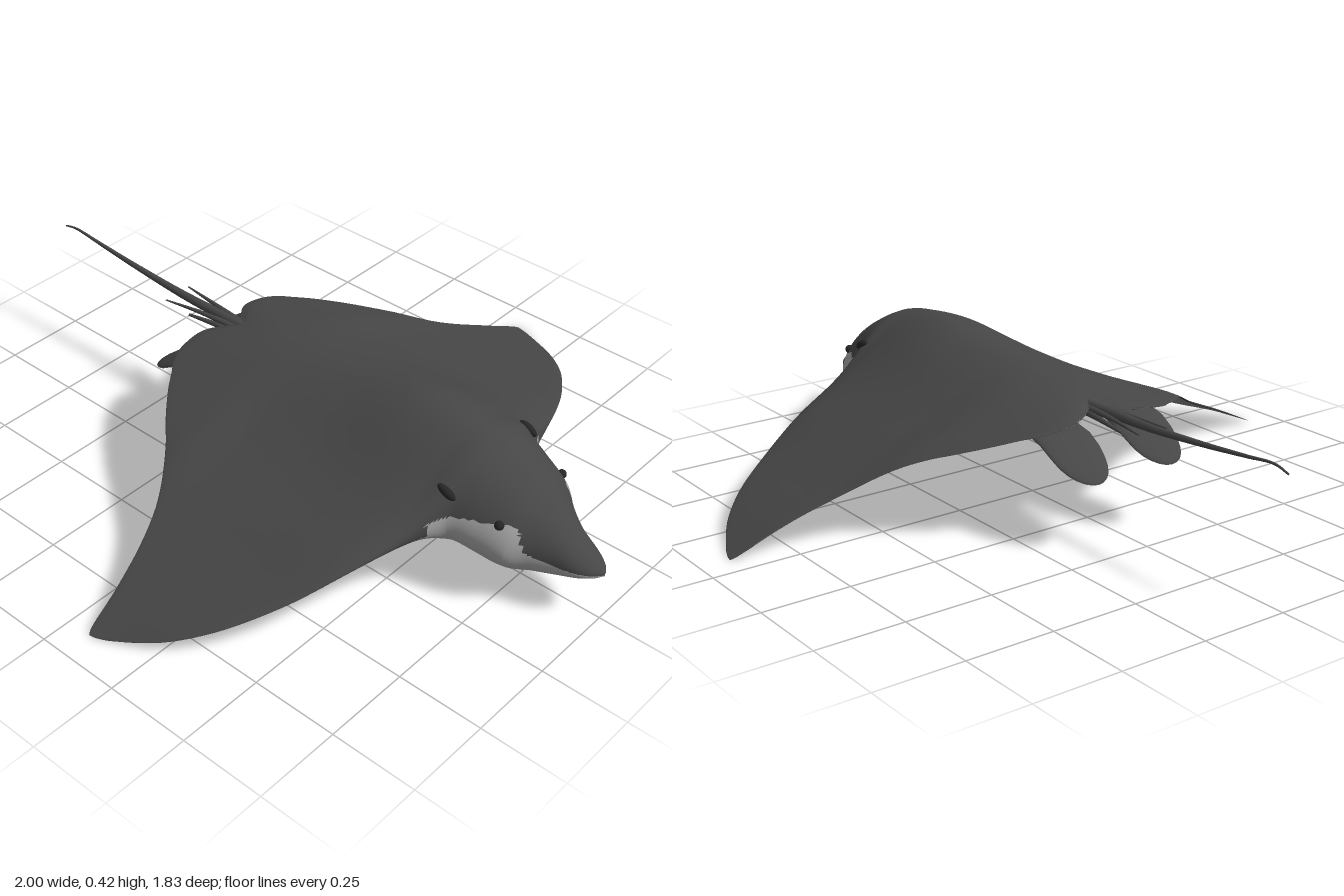
import * as THREE from 'three';

const mat = (name, color, side = THREE.FrontSide) => {
  const m = new THREE.MeshStandardMaterial({ color, side });
  m.name = name;
  return m;
};

// Smooth curve through [x, y] points that never overshoots
function curve(p) {
  const d = p.slice(1).map((q, i) => (q[1] - p[i][1]) / (q[0] - p[i][0]));
  const m = p.map((_, i) => {
    if (i === 0) return d[0];
    if (i === d.length) return d[i - 1];
    return d[i - 1] * d[i] <= 0 ? 0 : 2 * d[i - 1] * d[i] / (d[i - 1] + d[i]);
  });
  return x => {
    x = Math.min(Math.max(x, p[0][0]), p[p.length - 1][0]);
    let i = 0;
    while (i < p.length - 2 && x > p[i + 1][0]) i++;
    const h = p[i + 1][0] - p[i][0], t = (x - p[i][0]) / h, s = 1 - t;
    return p[i][1] * (1 + 2 * t) * s * s + m[i] * h * t * s * s
      + p[i + 1][1] * t * t * (3 - 2 * t) - m[i + 1] * h * t * t * s;
  };
}

// Half width of the disc and head along the body
const outline = [[-0.335, 0.1], [-0.33, 0.17], [-0.31, 0.22], [-0.29, 0.245], [-0.25, 0.3],
  [-0.18, 0.38], [-0.12, 0.44], [-0.03, 0.56], [0.02, 0.68], [0.05, 0.8], [0.066, 0.9],
  [0.075, 0.914], [0.11, 0.905], [0.15, 0.887], [0.25, 0.83], [0.35, 0.74], [0.45, 0.6],
  [0.53, 0.45], [0.58, 0.33], [0.615, 0.24], [0.645, 0.195], [0.7, 0.175], [0.78, 0.15],
  [0.83, 0.105], [0.88, 0.075], [0.94, 0.055], [0.98, 0.03], [1, 0.003]];
const halfWidth = curve(outline);
const backY = curve([[-0.335, 0.336], [-0.3, 0.348], [-0.1, 0.373], [0.2, 0.402], [0.42, 0.428],
  [0.6, 0.41], [0.75, 0.35], [0.83, 0.285], [0.9, 0.225], [1, 0.162]]);
const bellyY = curve([[-0.335, 0.326], [-0.2, 0.28], [0, 0.235], [0.2, 0.2], [0.43, 0.158],
  [0.58, 0.138], [0.65, 0.115], [0.75, 0.09], [0.85, 0.1], [0.93, 0.127], [1, 0.152]]);
const edgeY = curve([[-0.335, 0.33], [-0.1, 0.33], [0.07, 0.305], [0.3, 0.292], [0.5, 0.284],
  [0.63, 0.26], [0.8, 0.2], [0.9, 0.165], [1, 0.156]]);
const droop = curve([[0, 0], [0.1, -0.008], [0.2, -0.025], [0.4, -0.085], [0.6, -0.168],
  [0.75, -0.225], [0.914, -0.298]]);
const toneY = curve([[0.58, 0.24], [0.66, 0.265], [0.79, 0.268], [0.83, 0.19], [0.9, 0.165], [1, 0.156]]);
const { smoothstep, lerp } = THREE.MathUtils;

// Point of the body surface at length x and angle a around the section
function skin(x, a) {
  const u = Math.cos(a), z = halfWidth(x) * u, head = smoothstep(x, 0.56, 0.72);
  const e = edgeY(x), up = Math.sin(a) >= 0;
  const thick = 0.03 * (1 - Math.abs(z)) * smoothstep(x, -0.36, 0.2) * (1 - head);
  const centre = Math.abs((up ? backY(x) : bellyY(x)) - e);
  const bump = Math.exp(-((z / lerp(0.2, 0.4, head)) ** 2));
  const close = Math.sqrt(Math.max(0, 1 - Math.abs(u) ** lerp(4, 2.4, head)));
  const h = (thick + bump * (centre - thick)) * close;
  // Notch between the two rear lobes
  const notch = 0.06 * Math.exp(-((z / 0.06) ** 2)) * (1 - smoothstep(x, -0.335, -0.1));
  return new THREE.Vector3(x + notch, e + droop(Math.abs(z)) + (up ? h : -h), z);
}

// Sort faces into one group per material by a rule on centre and normal
function paint(geo, rule, count) {
  const pos = geo.attributes.position, idx = geo.index.array;
  const bins = Array.from({ length: count }, () => []);
  const t = new THREE.Triangle(), c = new THREE.Vector3(), n = new THREE.Vector3();
  for (let i = 0; i < idx.length; i += 3) {
    t.setFromAttributeAndIndices(pos, idx[i], idx[i + 1], idx[i + 2]);
    t.getMidpoint(c);
    t.getNormal(n);
    bins[rule(c, n)].push(idx[i], idx[i + 1], idx[i + 2]);
  }
  geo.setIndex(bins.flat());
  geo.clearGroups();
  let start = 0;
  bins.forEach((b, i) => { geo.addGroup(start, b.length, i); start += b.length; });
  return geo;
}

function bodyGeometry() {
  const xs = [], sub = 5, N = 96, pts = [], idx = [];
  for (let i = 0; i < outline.length - 1; i++)
    for (let k = 0; k < sub; k++) xs.push(lerp(outline[i][0], outline[i + 1][0], k / sub));
  xs.push(1);
  xs.forEach((x, i) => {
    for (let j = 0; j < N; j++) {
      pts.push(skin(x, j / N * Math.PI * 2));
      if (i === xs.length - 1) continue;
      const a = i * N + j, c = i * N + (j + 1) % N;
      idx.push(a, a + N, c + N, a, c + N, c);
    }
  });
  const geo = new THREE.BufferGeometry().setFromPoints(pts);
  geo.setIndex(idx);
  geo.computeVertexNormals();
  // Dark back, pale face, grey underside with a dark leading rim
  return paint(geo, (c, n) => {
    if (c.x > 0.6 && Math.abs(c.z) < 0.24) return c.y < toneY(c.x) ? 1 : 0;
    const rim = Math.abs(c.z) > halfWidth(c.x) * 0.975;
    return n.y < -0.05 && !rim ? 2 : 0;
  }, 3);
}

// Tube that thins from r0 to r1 along its path
function taper(points, r0, r1, n = 24) {
  const path = new THREE.CatmullRomCurve3(points.map(p => new THREE.Vector3(...p)));
  const geo = new THREE.TubeGeometry(path, n, r0, 8), pos = geo.attributes.position;
  const v = new THREE.Vector3();
  for (let i = 0; i < pos.count; i++) {
    const t = Math.floor(i / 9) / n, c = path.getPointAt(t);
    v.fromBufferAttribute(pos, i).sub(c).multiplyScalar(lerp(1, r1 / r0, t)).add(c);
    pos.setXYZ(i, v.x, v.y, v.z);
  }
  return geo;
}

// Drooping rounded paddle
function paddleGeometry(s) {
  const geo = new THREE.SphereGeometry(1, 28, 20), pos = geo.attributes.position;
  const bend = curve([[-0.46, 0.19], [-0.4, 0.222], [-0.3, 0.28], [-0.16, 0.305]]);
  for (let i = 0; i < pos.count; i++) {
    const x = -0.31 + 0.142 * Math.sign(pos.getX(i)) * Math.abs(pos.getX(i)) ** 0.8;
    pos.setXYZ(i, x, bend(x) + 0.016 * pos.getY(i), s * 0.125 + 0.083 * pos.getZ(i));
  }
  geo.computeVertexNormals();
  return paint(geo, (c, n) => (n.y < -0.3 ? 1 : 0), 2);
}

export function createModel() {
  const dark = mat('dark back', 0x464646);
  const pale = mat('pale face', 0xa4a4a4);
  const grey = mat('grey underside', 0x868686);
  const black = mat('black', 0x262626);
  const model = new THREE.Group();
  const add = (name, geo, material) => {
    const mesh = new THREE.Mesh(geo, material);
    mesh.name = name;
    model.add(mesh);
    return mesh;
  };

  add('bodyAndWings', bodyGeometry(), [dark, pale, grey]);

  // Whip tail
  add('tail', taper([[-0.2, 0.33, 0], [-0.35, 0.333, 0], [-0.5, 0.335, 0], [-0.7, 0.348, 0],
    [-0.85, 0.362, 0], [-0.95, 0.371, 0], [-1, 0.36, -0.003]], 0.017, 0.0025, 60), dark);

  for (const s of [1, -1]) {
    const side = s > 0 ? 'right' : 'left';
    const pick = a => (s > 0 ? a : Math.PI - a);
    add(side + 'PelvicFin', paddleGeometry(s), [dark, grey]);
    // Thin spines beside the tail root
    add(side + 'LongSpine', taper([[-0.24, 0.328, s * 0.012], [-0.38, 0.332, s * 0.027],
      [-0.515, 0.328, s * 0.046]], 0.011, 0.002), dark);
    add(side + 'ShortSpine', taper([[-0.24, 0.32, s * 0.018], [-0.34, 0.318, s * 0.03],
      [-0.43, 0.31, s * 0.036]], 0.011, 0.004), dark);

    const eye = add(side + 'Eye', new THREE.SphereGeometry(0.013, 16, 12), black);
    eye.position.copy(skin(0.76, pick(0.55)));
    const spiracle = add(side + 'Spiracle', new THREE.SphereGeometry(1, 20, 12), black);
    spiracle.scale.set(0.03, 0.013, 0.012);
    spiracle.rotation.z = -0.4;
    spiracle.position.copy(skin(0.62, pick(0.72)));
  }

  // Mouth slit across the underside of the head
  const mouth = [];
  for (let i = 0; i <= 8; i++) mouth.push(skin(0.8, Math.PI * (1.3 + 0.4 * i / 8)).toArray());
  add('mouth', taper(mouth, 0.004, 0.004), black);

  return model;
}
